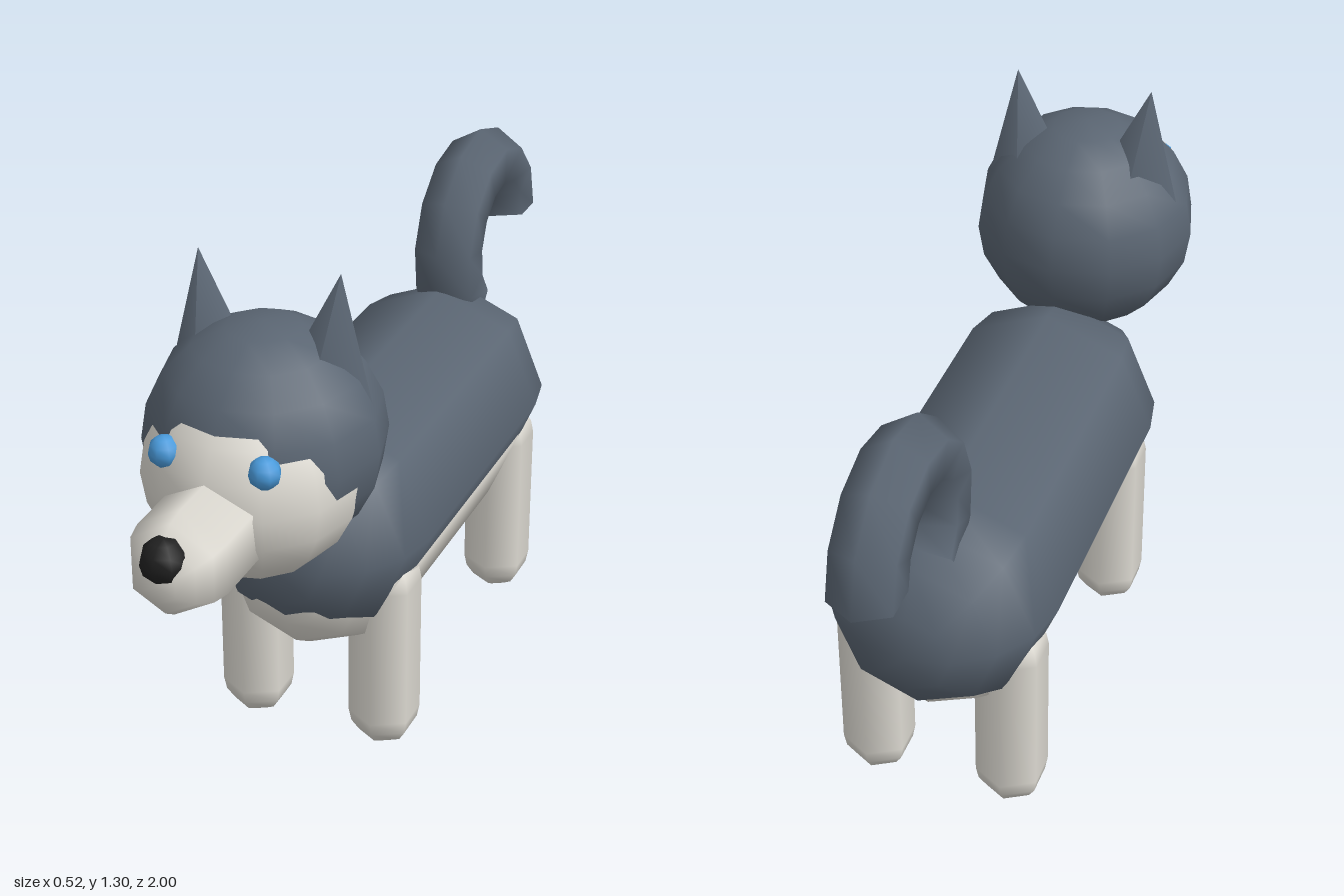
import * as THREE from 'three';

const mat = (name, color) => {
  const m = new THREE.MeshStandardMaterial({ color });
  m.name = name;
  return m;
};

export function createModel() {
  const dog = new THREE.Group();
  dog.name = 'dog';
  const grey = mat('slate grey fur', 0x5a6572);
  const cream = mat('pale fur', 0xdddad2);
  const blue = mat('blue eyes', 0x4a9bdc);
  const black = mat('black nose', 0x202020);

  const add = (name, geometry, material, x, y, z) => {
    const mesh = new THREE.Mesh(geometry, material);
    mesh.name = name;
    mesh.position.set(x, y, z);
    dog.add(mesh);
    return mesh;
  };
  // Capsule along y with a corner facing +z
  const capsule = (r, length, sides) =>
    new THREE.CapsuleGeometry(r, length, 4, sides).rotateY(Math.PI / 2);
  // Capsule lying along z between two cap centres
  const lying = (name, material, r, sides, y, z0, z1) =>
    add(name, capsule(r, z1 - z0, sides).rotateX(Math.PI / 2), material, 0, y, (z0 + z1) / 2);

  // Torso: grey back with a lower, slimmer pale belly
  lying('back', grey, 0.26, 8, 0.55, -0.49, 0.196);
  lying('belly', cream, 0.23, 8, 0.47, -0.45, 0.19);

  // Head: grey skull with a pale face pushed through it
  add('skull', new THREE.SphereGeometry(0.26, 12, 10), grey, 0, 0.915, 0.485);
  add('face', new THREE.SphereGeometry(0.236, 12, 10), cream, 0, 0.864, 0.547);
  lying('muzzle', cream, 0.114, 6, 0.823, 0.6, 0.873);
  add('nose', new THREE.SphereGeometry(0.051, 8, 6), black, 0, 0.863, 0.949);

  for (const [side, s] of [['left', 1], ['right', -1]]) {
    add(side + 'Eye', new THREE.SphereGeometry(0.035, 8, 6), blue, s * 0.112, 0.966, 0.724);

    // Four-sided ear leaning outwards
    const ear = add(side + 'Ear', new THREE.ConeGeometry(0.112, 0.3, 4), grey, s * 0.143, 1.146, 0.455);
    ear.rotation.z = -s * 0.115;

    // Six-sided legs, tops buried in the torso
    for (const [end, z] of [['Front', 0.22], ['Hind', -0.517]])
      add(side + end + 'Leg', capsule(0.083, 0.35, 6), cream, s * 0.161, 0.258, z);
  }

  // Curled tail, tip at the back pointing down
  const tailR = 0.184, tubeR = 0.083;
  const tail = add('tail', new THREE.TorusGeometry(tailR, tubeR, 6, 8, 4), grey, 0, 0.865, -0.733);
  const tip = add('tailTip', new THREE.CircleGeometry(tubeR, 6).rotateX(Math.PI / 2).translate(tailR, 0, 0),
    grey, 0, 0.865, -0.733);
  tail.rotation.y = tip.rotation.y = Math.PI / 2;

  return dog;
}
